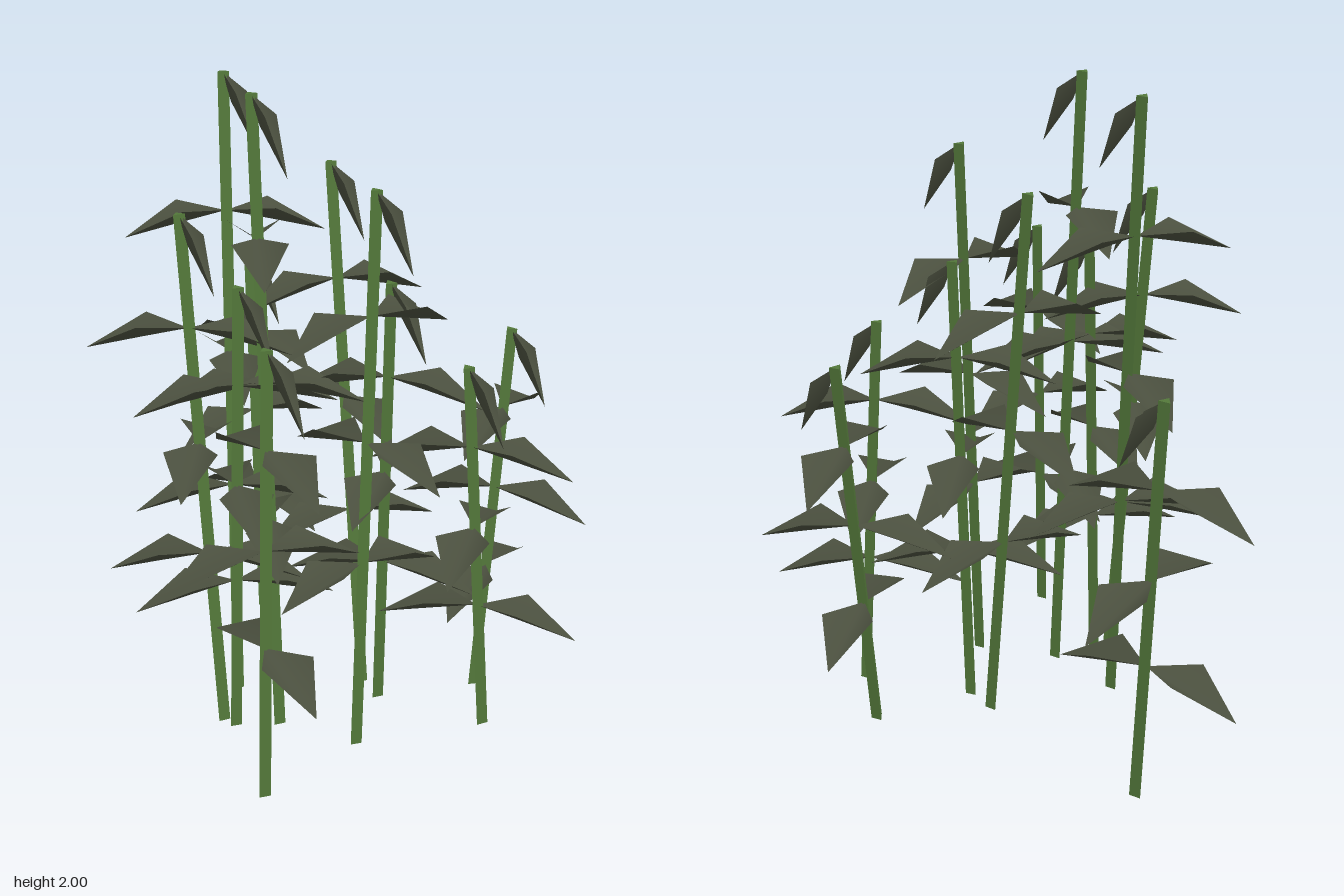
import * as THREE from 'three';

const stemMat = new THREE.MeshStandardMaterial({ color: 0x53783a });
stemMat.name = 'stem green';
const leafMat = new THREE.MeshStandardMaterial({ color: 0x4b503f, side: THREE.DoubleSide });
leafMat.name = 'dull leaf green';
stemMat.flatShading = true;

// Stalks: base x, base z, top x, height, top z, bearing of the leaf pairs in degrees (x towards z)
const STALKS = [
  [-0.505, -0.435, -0.58, 1.29, -0.455, 10],
  [-0.165, 0.085, -0.29, 2.0, -0.015, 130],
  [-0.06, 0.27, -0.18, 1.64, 0.305, 147],
  [0.12, -0.21, -0.03, 1.73, -0.21, 113],
  [0.09, 0.175, 0.01, 2.0, 0.2, 45],
  [-0.01, 0.27, 0.02, 1.45, 0.275, 126],
  [0.22, -0.165, 0.31, 1.44, -0.075, 160],
  [0.35, 0.115, 0.38, 1.76, 0.095, 100],
  [0.33, 0.525, 0.34, 1.39, 0.52, 22],
  [0.41, -0.435, 0.45, 1.22, -0.515, 77],
  [0.58, -0.24, 0.56, 1.22, -0.125, -21],
];

// Kite-shaped leaf growing along +x, folded along its midrib; points are [x, y]
function leafGeometry([cx, cy], halfWidth, [rx, ry], [tx, ty]) {
  const g = new THREE.BufferGeometry();
  g.setAttribute('position', new THREE.Float32BufferAttribute([
    0, 0, 0,
    cx, cy, halfWidth,
    tx, ty, 0,
    cx, cy, -halfWidth,
    rx, ry, 0,
  ], 3));
  g.setIndex([0, 1, 4, 4, 1, 2, 0, 4, 3, 4, 2, 3]);
  g.computeVertexNormals();
  return g;
}

export function createModel() {
  const model = new THREE.Group();
  model.name = 'stalkCluster';
  const sideLeaf = leafGeometry([0.143, 0.02], 0.082, [0.14, -0.032], [0.312, -0.073]);
  const topLeaf = leafGeometry([0.077, -0.055], 0.025, [0.035, -0.088], [0.138, -0.227]);
  const up = new THREE.Vector3(0, 1, 0);

  for (const [bx, bz, tx, h, tz, bearing] of STALKS) {
    const plant = new THREE.Group();
    plant.name = 'stalk';
    const base = new THREE.Vector3(bx, 0, bz);
    const top = new THREE.Vector3(tx, h, tz);
    const dir = top.clone().sub(base);

    // Three-sided leaning stem
    const stem = new THREE.Mesh(new THREE.CylinderGeometry(0.021, 0.021, dir.length(), 3), stemMat);
    stem.name = 'stem';
    stem.position.copy(base).lerp(top, 0.5);
    stem.quaternion.setFromUnitVectors(up, dir.normalize());
    plant.add(stem);

    // Drooping leaf at the top
    const tipLeaf = new THREE.Mesh(topLeaf, leafMat);
    tipLeaf.name = 'topLeaf';
    tipLeaf.position.copy(top);
    plant.add(tipLeaf);

    // Three opposite pairs, each turned a quarter from the last
    [0.35, 0.57, 0.79].forEach((t, i) => {
      for (const half of [0, 180]) {
        const leaf = new THREE.Mesh(sideLeaf, leafMat);
        leaf.name = 'sideLeaf';
        leaf.position.copy(base).lerp(top, t);
        leaf.rotation.y = -THREE.MathUtils.degToRad(bearing + i * 90 + half);
        plant.add(leaf);
      }
    });
    model.add(plant);
  }
  return model;
}
